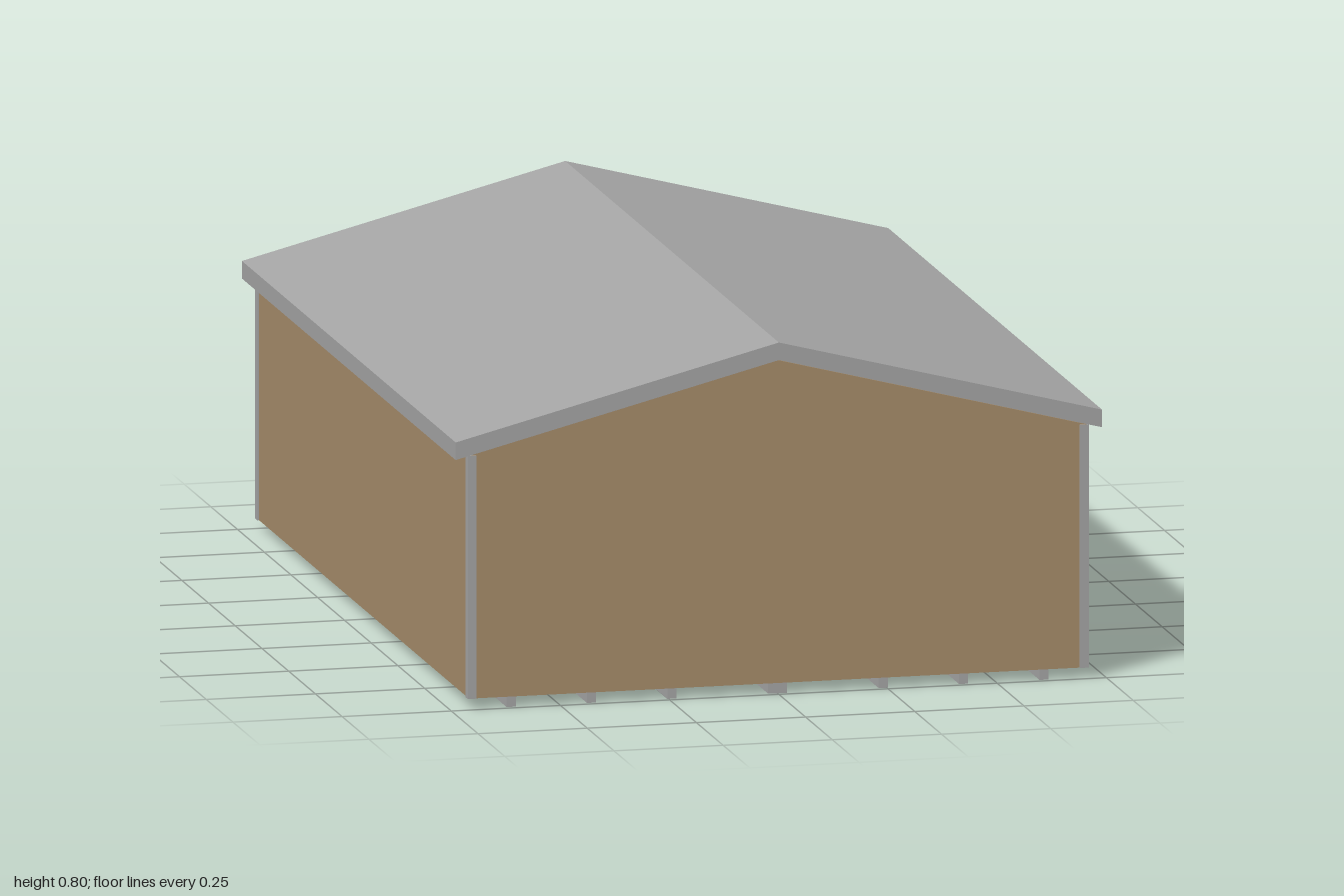
import * as THREE from 'three';

const WALL_X = 0.707, WALL_Z = 0.991, FLOOR = 0.024;
const ROOF_X = 0.74, EAVE = 0.57, RIDGE = 0.76, ROOF_T = 0.04;
// height of the roof underside at a given x
const under = (x) => RIDGE - (RIDGE - EAVE) * Math.abs(x) / ROOF_X;

export function createModel() {
  const group = new THREE.Group();
  const siding = new THREE.MeshStandardMaterial({ color: 0xa68c6a, side: THREE.DoubleSide });
  siding.name = 'tan siding';
  const metal = new THREE.MeshStandardMaterial({ color: 0xa5a5a5 });
  metal.name = 'grey metal';

  const add = (name, geometry, material, x = 0, y = 0, z = 0) => {
    const mesh = new THREE.Mesh(geometry, material);
    mesh.name = name;
    mesh.position.set(x, y, z);
    group.add(mesh);
    return mesh;
  };
  const shapeOf = (pts) => new THREE.Shape(pts.map(([x, y]) => new THREE.Vector2(x, y)));

  // gabled roof slab
  const roof = new THREE.ExtrudeGeometry(shapeOf([
    [-ROOF_X, EAVE], [0, RIDGE], [ROOF_X, EAVE],
    [ROOF_X, EAVE + ROOF_T], [0, RIDGE + ROOF_T], [-ROOF_X, EAVE + ROOF_T],
  ]), { depth: 2, bevelEnabled: false });
  add('roof', roof, metal, 0, 0, -1);

  // thin gable end walls
  const top = under(WALL_X) - 0.002;
  const gable = new THREE.ShapeGeometry(shapeOf([
    [-WALL_X, FLOOR], [WALL_X, FLOOR], [WALL_X, top], [0, RIDGE - 0.002], [-WALL_X, top],
  ]));
  add('frontWall', gable, siding, 0, 0, WALL_Z);
  add('backWall', gable, siding, 0, 0, -WALL_Z).rotation.y = Math.PI;

  for (const s of [-1, 1]) {
    const side = s > 0 ? 'left' : 'right';

    // side wall
    const wall = new THREE.PlaneGeometry(2 * WALL_Z, top - FLOOR).rotateY(s * Math.PI / 2);
    add(side + 'Wall', wall, siding, s * WALL_X, (top + FLOOR) / 2, 0);

    // ceiling lining, one sloping panel per side
    const rise = RIDGE - 0.002 - top;
    const lining = new THREE.PlaneGeometry(Math.hypot(WALL_X, rise), 2 * WALL_Z)
      .rotateX(Math.PI / 2).rotateZ(-s * Math.atan2(rise, WALL_X));
    add(side + 'Ceiling', lining, siding, s * WALL_X / 2, (top + RIDGE - 0.002) / 2, 0);

    // L-shaped corner trims
    for (const e of [-1, 1]) {
      const h = top - FLOOR, y = FLOOR + h / 2;
      add('cornerTrimFace', new THREE.BoxGeometry(0.02, h, 0.004), metal, s * 0.701, y, e * 0.993);
      add('cornerTrimSide', new THREE.BoxGeometry(0.004, h, 0.02), metal, s * 0.709, y, e * 0.985);
    }
  }

  // floor skids, the middle one doubled in width
  for (const x of [-0.61, -0.426, -0.242, 0, 0.242, 0.426, 0.61]) {
    const width = x === 0 ? 0.043 : 0.021;
    add('skid', new THREE.BoxGeometry(width, FLOOR, 1.976), metal, x, FLOOR / 2, 0);
  }
  return group;
}
